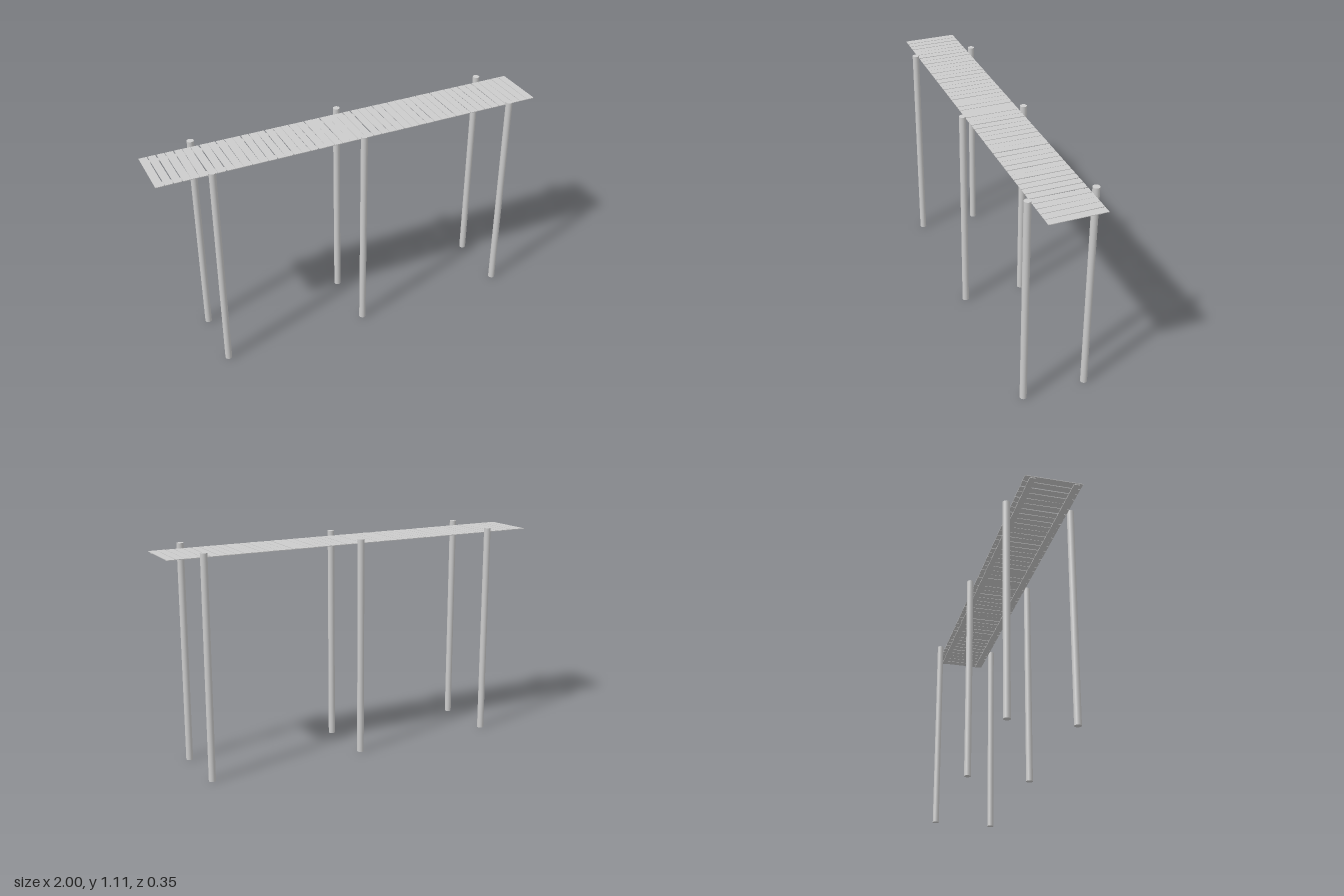
import * as THREE from 'three';

export function createModel() {
  const group = new THREE.Group();
  const material = new THREE.MeshStandardMaterial({ color: 0xcccccc });

  const add = (name, geometry, x, y, z) => {
    const mesh = new THREE.Mesh(geometry, material);
    mesh.name = name;
    mesh.position.set(x, y, z);
    group.add(mesh);
    return mesh;
  };

  // Small seeded generator for the uneven planks
  let seed = 17;
  const jitter = (amount) => {
    seed = (seed * 16807) % 2147483647;
    return (seed / 2147483647 - 0.5) * 2 * amount;
  };

  // Three pairs of tall round posts
  const postHeight = 1.107;
  const postGeometry = new THREE.CylinderGeometry(0.0172, 0.0172, postHeight, 20);
  for (const x of [-0.742, 0.019, 0.834]) {
    for (const z of [-0.159, 0.159]) add('post', postGeometry, x, postHeight / 2, z);
  }

  // Two flat rails running under the deck
  const railGeometry = new THREE.BoxGeometry(1.99, 0.004, 0.028);
  for (const z of [-0.102, 0.108]) add('rail', railGeometry, 0, 1.0785, z);

  // Deck of thin planks, laid slightly askew with narrow gaps
  const count = 48;
  const pitch = 2 / count;
  for (let i = 0; i < count; i++) {
    const end = i === 0 || i === count - 1;
    const width = pitch - 0.003 + (end ? 0 : jitter(0.002));
    const x = end ? Math.sign(i - 1) * (1 - width / 2) : -1 + (i + 0.5) * pitch + jitter(0.001);
    const geometry = new THREE.BoxGeometry(width, 0.003, 0.276);
    const plank = add('plank', geometry, x, 1.0825 + (end ? 0 : jitter(0.0004)), -0.002);
    if (!end) plank.rotation.y = jitter(0.012);
  }

  return group;
}
